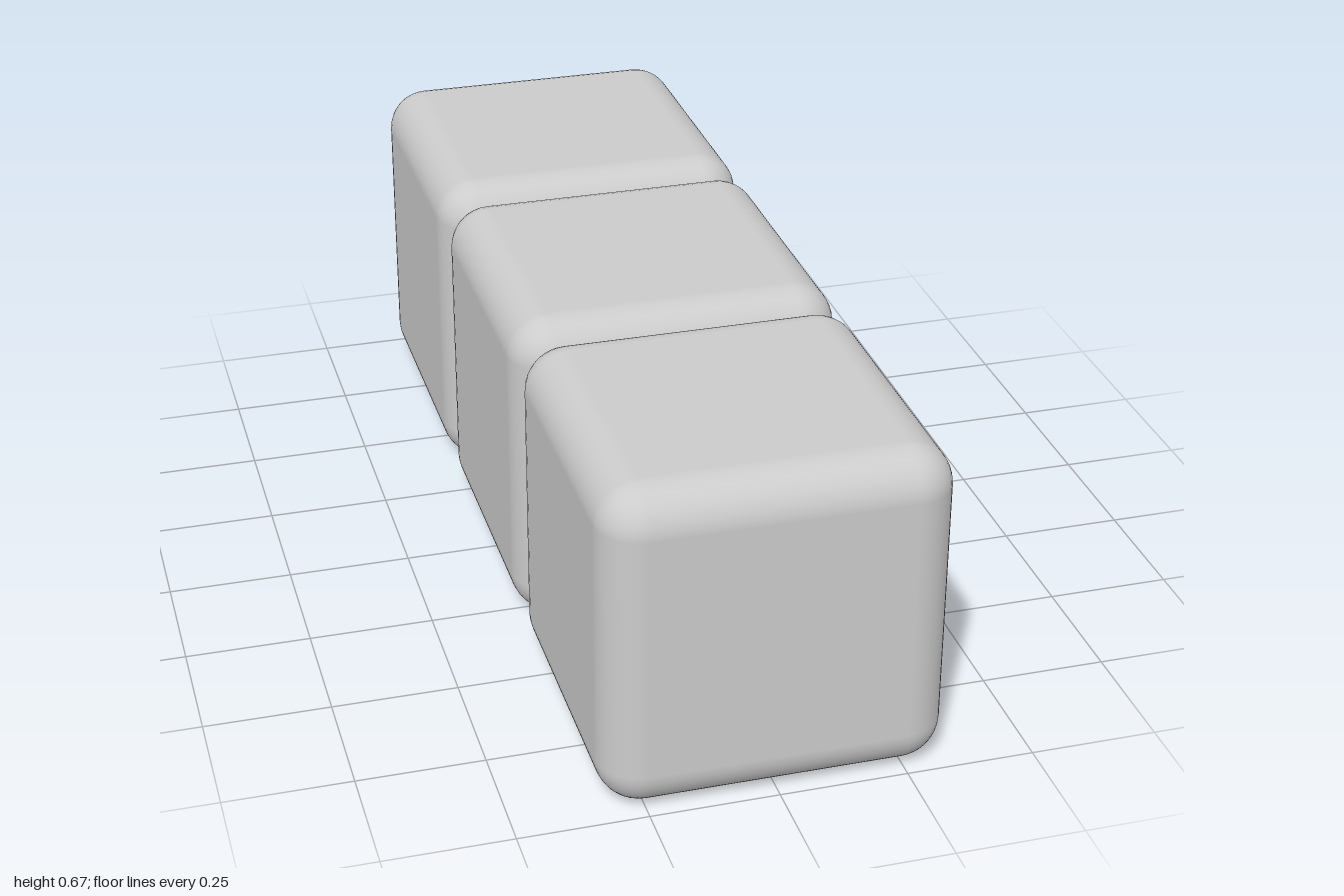
import * as THREE from 'three';
import { RoundedBoxGeometry } from 'three/addons/geometries/RoundedBoxGeometry.js';

const SIZE = 2 / 3; // edge length of each cube
const RADIUS = 0.085; // rounding of edges and corners

export function createModel() {
  const model = new THREE.Group();
  model.name = 'cubeRow';

  const material = new THREE.MeshStandardMaterial({ color: 0xcccccc });
  const geometry = new RoundedBoxGeometry(SIZE, SIZE, SIZE, 5, RADIUS);

  // Three rounded cubes touching in a row, back to front
  ['backCube', 'middleCube', 'frontCube'].forEach((name, i) => {
    const cube = new THREE.Mesh(geometry, material);
    cube.name = name;
    cube.position.set(0, SIZE / 2, (i - 1) * SIZE);
    model.add(cube);
  });

  return model;
}
